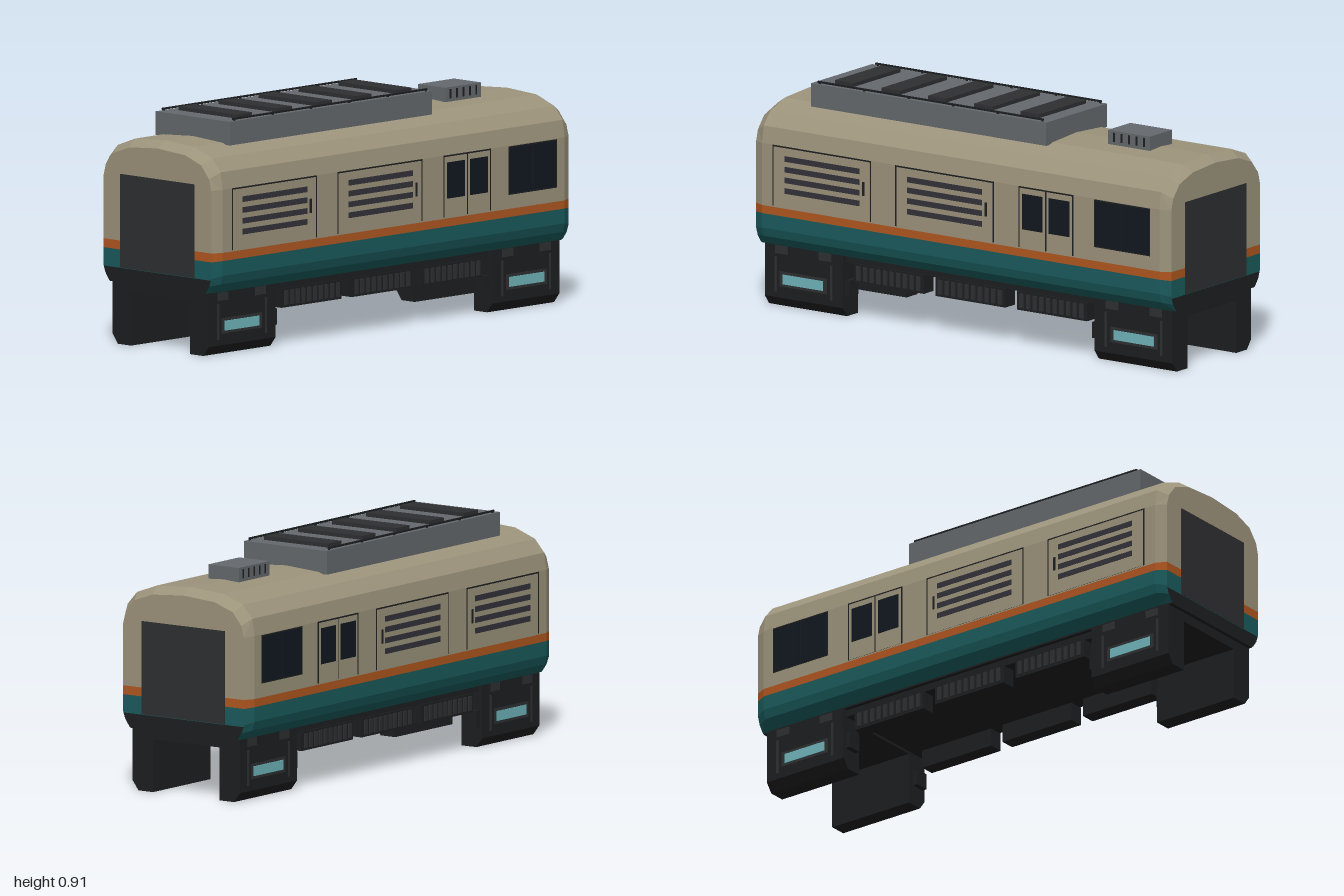
import * as THREE from 'three';

const material = (color) => new THREE.MeshStandardMaterial({ color, flatShading: true });
const TAN = material(0x9c937b);
const ORANGE = material(0xb0561f);
const TEAL = material(0x1a5a5c);
const BLACK = material(0x1d1e20);
const DARK = material(0x2e2f31);
const SLAT = material(0x33323a);
const GLASS = material(0x10181f);
const GREY = material(0x65696d);
const LIGHT = material(0x6fb4ba);

const HALF = 0.998; // half length of the shell
const SHOULDER = 0.955; // where the end bevel starts

export function createModel() {
  const model = new THREE.Group();
  model.name = 'railCar';

  const add = (name, geometry, mat, parent = model) => {
    const mesh = new THREE.Mesh(geometry, mat);
    mesh.name = name;
    parent.add(mesh);
    return mesh;
  };
  const group = (name) => {
    const g = new THREE.Group();
    g.name = name;
    model.add(g);
    return g;
  };
  // Box given by its limits
  const box = (name, mat, [x0, x1], [y0, y1], [z0, z1], parent) => {
    const mesh = add(name, new THREE.BoxGeometry(x1 - x0, y1 - y0, z1 - z0), mat, parent);
    mesh.position.set((x0 + x1) / 2, (y0 + y1) / 2, (z0 + z1) / 2);
    return mesh;
  };
  // The same box on both sides of the car
  const pair = (name, mat, [x0, x1], y, z, parent) => {
    box(name, mat, [x0, x1], y, z, parent);
    box(name, mat, [-x1, -x0], y, z, parent);
  };

  // Shell band: half profiles (bottom to top) swept along z, narrowing at the ends
  const band = (name, outer, inner, mat) => {
    const positions = [];
    const rings = [[inner, -HALF], [outer, -SHOULDER], [outer, SHOULDER], [inner, HALF]];
    for (const s of [1, -1]) {
      for (let r = 0; r < 3; r++) {
        const [p, zp] = rings[r];
        const [q, zq] = rings[r + 1];
        for (let i = 0; i < outer.length - 1; i++) {
          const a = [s * p[i][0], p[i][1], zp];
          const b = [s * p[i + 1][0], p[i + 1][1], zp];
          const c = [s * q[i + 1][0], q[i + 1][1], zq];
          const d = [s * q[i][0], q[i][1], zq];
          const corners = s > 0 ? [a, b, c, a, c, d] : [a, c, b, a, d, c];
          positions.push(...corners.flat());
        }
      }
    }
    const geometry = new THREE.BufferGeometry();
    geometry.setAttribute('position', new THREE.Float32BufferAttribute(positions, 3));
    geometry.computeVertexNormals();
    add(name, geometry, mat);
  };
  // Flat end faces from a half outline
  const caps = (name, half, mat) => {
    const outline = [...half, ...half.map(([x, y]) => [-x, y]).reverse()];
    const shape = new THREE.Shape(outline.map(([x, y]) => new THREE.Vector2(x, y)));
    for (const s of [1, -1]) {
      const mesh = add(name, new THREE.ShapeGeometry(shape), mat);
      mesh.position.z = s * HALF;
      if (s < 0) mesh.rotation.y = Math.PI;
    }
  };

  // Body shell
  const upperOuter = [[0.311, 0.41], [0.311, 0.658], [0.3, 0.725], [0.255, 0.775], [0.16, 0.81], [0, 0.82]];
  const upperInner = [[0.291, 0.41], [0.291, 0.655], [0.279, 0.7], [0.237, 0.75], [0.15, 0.781], [0, 0.792]];
  band('upperShell', upperOuter, upperInner, TAN);
  caps('upperEnd', upperInner, TAN);
  const stripeInner = [[0.291, 0.375], [0.291, 0.41]];
  band('stripe', [[0.311, 0.378], [0.311, 0.41]], stripeInner, ORANGE);
  caps('stripeEnd', stripeInner, ORANGE);
  band('lowerShell',
    [[0.265, 0.248], [0.3, 0.285], [0.311, 0.32], [0.311, 0.378]],
    [[0.258, 0.248], [0.28, 0.278], [0.291, 0.31], [0.291, 0.375]], TEAL);
  caps('lowerEnd', [[0.289, 0.303], [0.291, 0.31], [0.291, 0.375]], TEAL);
  caps('endSill', [[0.258, 0.248], [0.28, 0.278], [0.289, 0.303]], BLACK);
  box('floor', BLACK, [-0.257, 0.257], [0.246, 0.256], [-0.996, 0.996]);
  box('frontGangway', DARK, [-0.2, 0.2], [0.305, 0.672], [0.99, 1]);
  box('rearGangway', DARK, [-0.2, 0.2], [0.305, 0.672], [-1, -0.99]);

  // Louvred side panels
  const panels = group('louvrePanels');
  for (const z of [0.43, -0.16]) {
    pair('panelFrame', BLACK, [0.3, 0.312], [0.415, 0.658], [z, z + 0.474], panels);
    pair('panel', TAN, [0.3, 0.313], [0.415, 0.652], [z + 0.006, z + 0.468], panels);
    for (let i = 0; i < 4; i++) {
      const y = 0.482 + i * 0.0425;
      pair('slat', SLAT, [0.3, 0.315], [y - 0.011, y + 0.011], [z + 0.055, z + 0.415], panels);
    }
    pair('handle', BLACK, [0.3, 0.316], [0.515, 0.57], [z + 0.032, z + 0.041], panels);
  }

  // Double doors
  const doors = group('doors');
  pair('doorFrame', BLACK, [0.3, 0.312], [0.415, 0.658], [-0.542, -0.278], doors);
  for (const z of [-0.536, -0.407]) {
    pair('doorLeaf', TAN, [0.3, 0.313], [0.415, 0.652], [z, z + 0.123], doors);
    pair('doorWindow', GLASS, [0.3, 0.314], [0.488, 0.63], [z + 0.012, z + 0.111], doors);
  }

  // Side windows
  const windows = group('windows');
  pair('windowFrame', BLACK, [0.3, 0.312], [0.465, 0.655], [-0.91, -0.642], windows);
  for (const z of [-0.905, -0.774]) {
    pair('windowPane', GLASS, [0.3, 0.313], [0.47, 0.65], [z, z + 0.127], windows);
  }

  // Main roof unit with vents and rails
  const roof = group('roofUnit');
  box('roofHousing', GREY, [-0.2, 0.2], [0.803, 0.896], [-0.33, 0.8], roof);
  for (let i = 0; i < 5; i++) {
    const z = -0.218 + i * 0.223;
    box('roofVent', DARK, [-0.154, 0.154], [0.89, 0.911], [z - 0.045, z + 0.045], roof);
  }
  pair('roofRail', BLACK, [0.187, 0.194], [0.9, 0.907], [-0.31, 0.775], roof);
  for (let i = 0; i < 6; i++) {
    const z = -0.305 + i * 0.214;
    pair('railPost', BLACK, [0.188, 0.193], [0.894, 0.902], [z - 0.004, z + 0.004], roof);
  }

  // Small roof unit
  const small = group('smallRoofUnit');
  box('smallHousing', GREY, [-0.073, 0.073], [0.812, 0.872], [-0.735, -0.535], small);
  for (let i = 0; i < 5; i++) {
    const z = -0.707 + i * 0.036;
    pair('smallVent', BLACK, [0.07, 0.075], [0.828, 0.864], [z - 0.004, z + 0.004], small);
  }

  // Underframe and ribbed equipment boxes
  const under = group('underframe');
  box('underframePlate', BLACK, [-0.24, 0.24], [0.218, 0.25], [-0.61, 0.61], under);
  for (const z of [-0.392, 0, 0.392]) {
    pair('equipmentBox', BLACK, [0.185, 0.247], [0.145, 0.22], [z - 0.168, z + 0.168], under);
    for (let i = 0; i < 10; i++) {
      const zr = z - 0.144 + i * 0.032;
      pair('rib', DARK, [0.24, 0.253], [0.155, 0.212], [zr - 0.009, zr + 0.009], under);
    }
  }

  // Bogies: an arch-shaped section run along z, with lamps on the flanks
  const half = [[0.16, 0.208], [0.16, 0], [0.23, 0], [0.258, 0.037], [0.258, 0.25]];
  const arch = [...half, ...half.map(([x, y]) => [-x, y]).reverse()];
  const section = new THREE.Shape(arch.map(([x, y]) => new THREE.Vector2(x, y)));
  for (const s of [1, -1]) {
    const bogie = group(s > 0 ? 'frontBogie' : 'rearBogie');
    const span = (a, b) => (s > 0 ? [a, b] : [-b, -a]);
    const frame = add('bogieFrame',
      new THREE.ExtrudeGeometry(section, { depth: 0.375, bevelEnabled: false }), BLACK, bogie);
    frame.position.z = s > 0 ? 0.605 : -0.98;
    pair('stop', BLACK, [0.185, 0.245], [0.082, 0.146], span(0.584, 0.61), bogie);
    for (const z of [0.66, 0.87]) {
      pair('bracket', DARK, [0.25, 0.261], [0.213, 0.245], span(z, z + 0.06), bogie);
    }
    for (const z of [0.655, 0.922]) {
      pair('flankRib', DARK, [0.25, 0.261], [0.06, 0.2], span(z, z + 0.01), bogie);
    }
    pair('lampFrame', DARK, [0.25, 0.26], [0.082, 0.143], span(0.682, 0.908), bogie);
    pair('lamp', LIGHT, [0.25, 0.262], [0.093, 0.132], span(0.698, 0.892), bogie);
  }
  return model;
}
